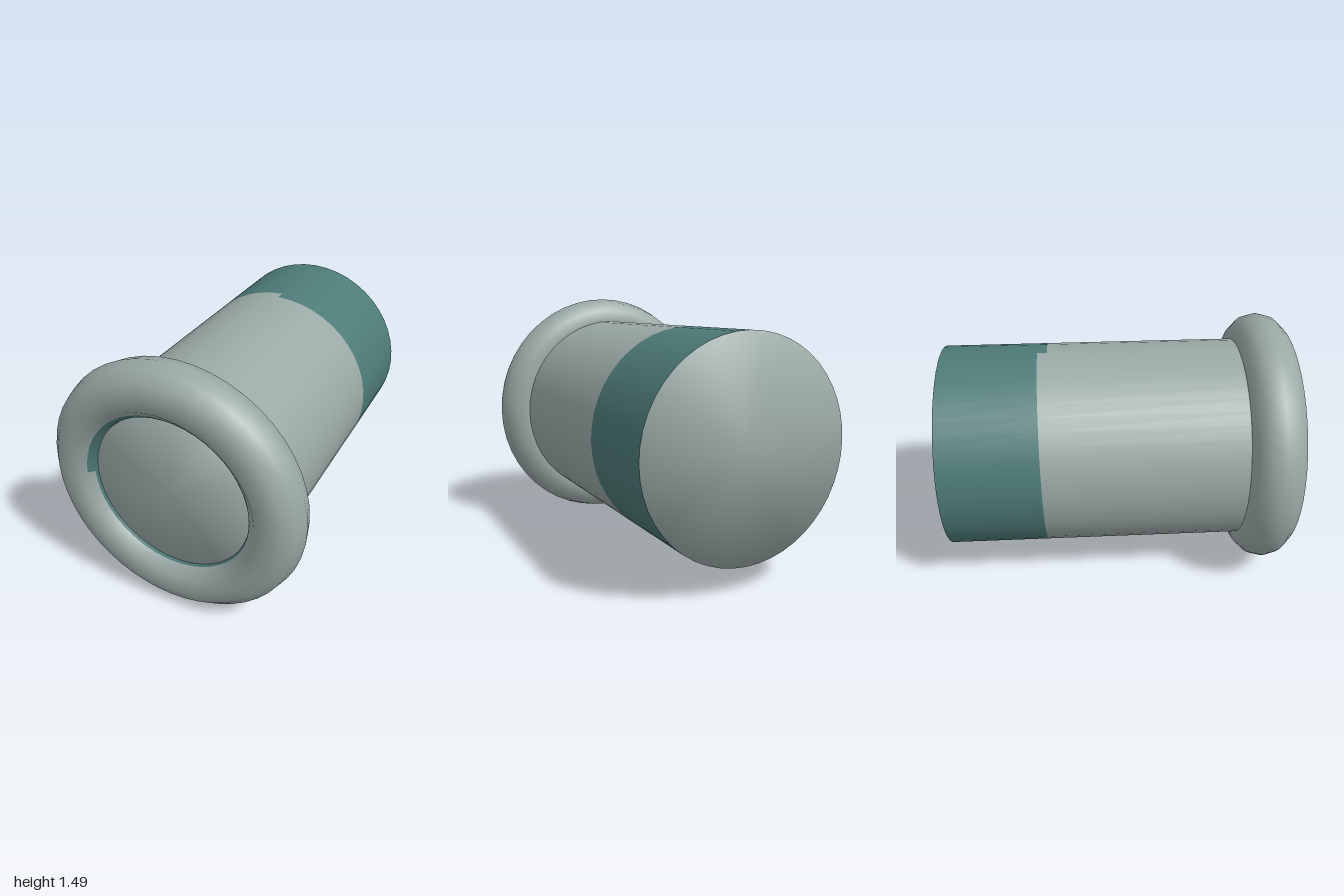
import * as THREE from 'three';

const RADIUS = 0.595, CENTRE_Y = 0.745, SEGMENTS = 48;

// Surface swept clockwise about the z axis between two edges, listed front to back.
// Each edge maps t (one turn, 0..1) to [radius, z, radial normal, axial normal].
function sweep(name, material, edgeA, edgeB, startAngle = 0) {
  const positions = [], normals = [], index = [];
  for (let i = 0; i <= SEGMENTS; i++) {
    const t = i / SEGMENTS, a = startAngle + t * Math.PI * 2;
    for (const edge of [edgeA, edgeB]) {
      const [r, z, nr, nz] = edge(t);
      const len = Math.hypot(nr, nz);
      positions.push(r * Math.sin(a), r * Math.cos(a), z);
      normals.push(nr * Math.sin(a) / len, nr * Math.cos(a) / len, nz / len);
    }
    if (i < SEGMENTS) {
      const k = i * 2;
      index.push(k, k + 2, k + 1, k + 1, k + 2, k + 3);
    }
  }
  const geometry = new THREE.BufferGeometry();
  geometry.setAttribute('position', new THREE.Float32BufferAttribute(positions, 3));
  geometry.setAttribute('normal', new THREE.Float32BufferAttribute(normals, 3));
  geometry.setIndex(index);
  const mesh = new THREE.Mesh(geometry, material);
  mesh.name = name;
  return mesh;
}

export function createModel() {
  const grey = new THREE.MeshStandardMaterial({ name: 'pale grey', color: 0x9aa9a6 });
  const teal = new THREE.MeshStandardMaterial({ name: 'dark teal', color: 0x4d7a77, side: THREE.DoubleSide });

  const model = new THREE.Group();
  model.name = 'flangedTube';
  const body = new THREE.Group();
  body.name = 'body';
  body.position.y = CENTRE_Y;
  model.add(body);

  // Barrel: the colour boundary drifts back around the turn, leaving a step at the top
  const boundary = t => [RADIUS, -0.397 - 0.056 * t, 1, 0];
  body.add(sweep('barrel', grey, () => [RADIUS, 0.91, 1, 0], boundary));
  body.add(sweep('rearBand', teal, boundary, () => [RADIUS, -1, 1, 0]));

  // Flat end caps with soft normals
  body.add(sweep('frontCap', grey, () => [0, 0.91, 0, 1], () => [RADIUS, 0.91, 0.7, 0.7]));
  body.add(sweep('rearCap', grey, () => [RADIUS, -1, 0.7, -0.7], () => [0, -1, 0, -1]));

  // Rounded front rim
  const rim = new THREE.Mesh(new THREE.TorusGeometry(RADIUS, 0.15, 12, SEGMENTS), grey);
  rim.name = 'frontRim';
  rim.position.z = 0.85;
  body.add(rim);

  // Thin tapering stripe lying on the inner slope of the rim, starting at the left of the front
  const slope = r => [r, r < 0.465 ? 0.925 - (0.465 - r) * 3.73 + 0.003 : 0.928 + (r - 0.465), -0.75, 0.66];
  body.add(sweep('rimStripeInner', teal, () => slope(0.459), () => slope(0.465), -Math.PI / 2));
  body.add(sweep('rimStripeOuter', teal, () => slope(0.465),
    t => slope(Math.max(0.4652, 0.496 - 0.048 * t)), -Math.PI / 2));

  return model;
}
